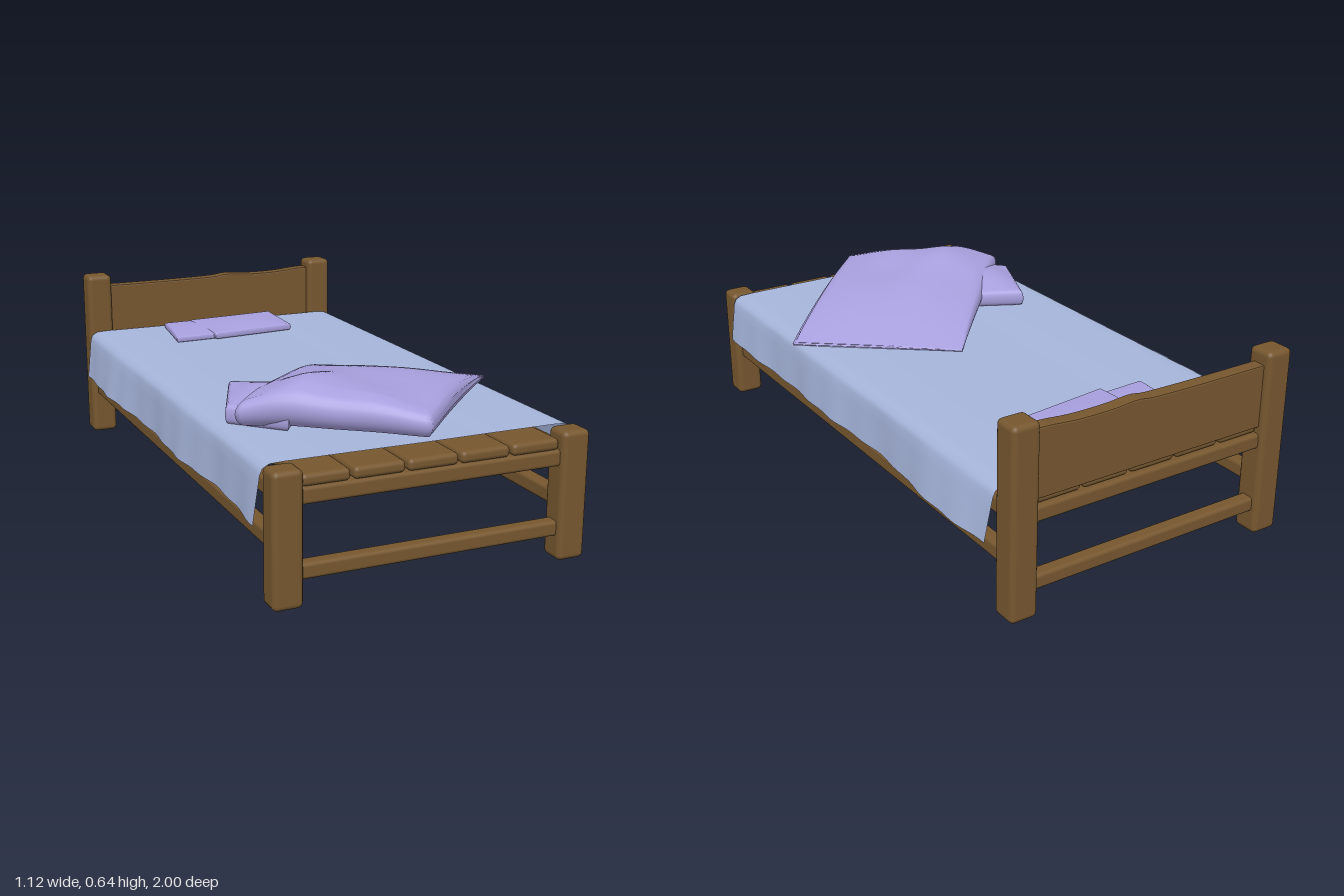
import * as THREE from 'three';
import { mergeVertices } from 'three/addons/utils/BufferGeometryUtils.js';
import { RoundedBoxGeometry } from 'three/addons/geometries/RoundedBoxGeometry.js';

const material = (name, color, side = THREE.FrontSide) => {
  const m = new THREE.MeshStandardMaterial({ color, side });
  m.name = name;
  return m;
};

export function createModel() {
  const wood = material('wood', 0x76572f);
  const darkWood = material('shadowed plank wood', 0x43331c);
  const sheetBlue = material('sheet blue', 0xa6b5db, THREE.DoubleSide);
  const lilac = material('blanket lilac', 0xa8a0de);
  const bed = new THREE.Group();
  bed.name = 'bed';

  const add = (name, geometry, mat) => {
    const mesh = new THREE.Mesh(geometry, mat);
    mesh.name = name;
    bed.add(mesh);
    return mesh;
  };

  // Worn timber block given by its limits on each axis
  const timber = (name, x0, x1, y0, y1, z0, z1, r = 0.012) => {
    const mesh = add(name, new RoundedBoxGeometry(x1 - x0, y1 - y0, z1 - z0, 3, r), wood);
    mesh.position.set((x0 + x1) / 2, (y0 + y1) / 2, (z0 + z1) / 2);
    return mesh;
  };

  // Soft puffy cloth: a fine box stretched over four floor corners [x, z],
  // with a thickness rule and rounded sides
  const softSlab = (name, corners, base, thickness, fold = 0) => {
    let g = new THREE.BoxGeometry(1, 1, 1, 36, 10, 36);
    g.deleteAttribute('uv');
    g.deleteAttribute('normal');
    g.clearGroups();
    g = mergeVertices(g);
    const p = g.attributes.position;
    const [a, b, c, d] = corners;
    for (let i = 0; i < p.count; i++) {
      const w = p.getY(i);
      const u0 = p.getX(i) + 0.5, v0 = p.getZ(i) + 0.5;
      const t = thickness(u0, v0);
      const inset = t * 0.7 * (1 - Math.sqrt(Math.max(0, 1 - 4 * w * w)))
        + fold * u0 * v0 * (0.5 + 0.5 * Math.sin(w * 24));
      const u = 0.5 + (u0 - 0.5) * (1 - 2 * inset);
      const v = 0.5 + (v0 - 0.5) * (1 - 2 * inset);
      const at = k => (1 - v) * ((1 - u) * a[k] + u * d[k]) + v * ((1 - u) * b[k] + u * c[k]);
      p.setXYZ(i, at(0), base + t * (w + 0.5), at(1));
    }
    g.computeVertexNormals();
    return add(name, g, lilac);
  };

  // Posts, side rails and end rails
  for (const s of [-1, 1]) {
    const side = s > 0 ? 'left' : 'right';
    const xa = s * 0.475 - 0.048, xb = s * 0.475 + 0.048;
    timber(`${side}FootPost`, xa, xb, 0, 0.418, 0.912, 1, 0.018);
    timber(`${side}HeadPost`, xa, xb, 0, 0.638, -1, -0.908, 0.018);
    timber(`${side}LowerSideRail`, s * 0.475 - 0.025, s * 0.475 + 0.025, 0.155, 0.208, -0.93, 0.93);
    timber(`${side}UpperSideRail`, s * 0.465 - 0.03, s * 0.465 + 0.03, 0.305, 0.36, -0.93, 0.93);
    const end = s > 0 ? 'foot' : 'head';
    timber(`${end}LowerRail`, -0.45, 0.45, 0.078, 0.128, s * 0.955 - 0.025, s * 0.955 + 0.025);
    timber(`${end}UpperRail`, -0.45, 0.45, 0.305, 0.358, s * 0.955 - 0.027, s * 0.955 + 0.027);
  }

  // Headboard with an uneven top edge
  const board = new THREE.Shape();
  board.moveTo(-0.44, 0.385);
  board.lineTo(0.44, 0.385);
  board.lineTo(0.44, 0.602);
  board.splineThru([[0.38, 0.6], [0.28, 0.592], [0.16, 0.592], [0.07, 0.598],
    [0, 0.591], [-0.2, 0.588], [-0.44, 0.588]].map(q => new THREE.Vector2(...q)));
  const boardGeometry = new THREE.ExtrudeGeometry(board, {
    depth: 0.036, bevelSize: 0.005, bevelThickness: 0.006, bevelSegments: 2, curveSegments: 24,
  });
  add('headboard', boardGeometry, wood).position.z = -0.972;

  // Lengthwise planks, with a dark underside
  const seams = [-0.432, -0.27, -0.095, 0.08, 0.255, 0.428];
  for (let i = 0; i < 5; i++) {
    const x0 = seams[i] + 0.004, x1 = seams[i + 1] - 0.004;
    timber('plank', x0, x1, 0.358, 0.396, -0.97, 0.983, 0.015);
    const under = add('plankUnderside', new THREE.BoxGeometry(x1 - x0 - 0.016, 0.004, 1.84), darkWood);
    under.position.set((x0 + x1) / 2, 0.357, 0);
  }

  // Cross beams carrying the planks
  for (const z of [-0.56, -0.19, 0.19, 0.56]) {
    timber('crossBeam', -0.46, 0.46, 0.305, 0.357, z - 0.033, z + 0.033);
  }

  // Sheet draped over both long sides, with a wavy hem
  const half = [[0, 0.415], [0.25, 0.416], [0.45, 0.416], [0.495, 0.414], [0.515, 0.403],
    [0.523, 0.385], [0.527, 0.35], [0.532, 0.31], [0.536, 0.275], [0.54, 0.24]];
  const sheet = new THREE.PlaneGeometry(18, 1.81, 18, 64);
  sheet.rotateX(-Math.PI / 2);
  const sp = sheet.attributes.position;
  for (let i = 0; i < sp.count; i++) {
    const column = Math.round(sp.getX(i)), s = Math.sign(column), z = sp.getZ(i);
    const [x, y] = half[Math.abs(column)];
    const drop = Math.max(0, (0.41 - y) / 0.17);
    const flare = s > 0 ? 0.022 * Math.exp(-(((z + 0.9) / 0.35) ** 2))
      : 0.016 * Math.exp(-(((z + 0.62) / 0.2) ** 2));
    const wave = flare + 0.008 * Math.sin(z * 9 + s) + 0.003 * Math.sin(z * 31);
    sp.setXYZ(i, s * (x + drop * wave), y + drop * 0.005 * Math.sin(z * 7 + 2 * s), z);
  }
  sheet.computeVertexNormals();
  add('sheet', sheet, sheetBlue);

  // Rumpled blanket: tall at its rolled end, thin at the far edge
  const bump = (u, v, a, b, r) => Math.exp(-((u - a) ** 2 + (v - b) ** 2) / (r * r));
  softSlab('blanket', [[-0.47, 0.57], [0.02, 0.915], [0.55, 0.335], [0.075, -0.035]], 0.416,
    (u, v) => 0.012 + 0.112 * (1 - u ** 3) * (0.7 + 0.3 * Math.sin(Math.PI * v))
      + 0.036 * bump(u, v, 0.12, 0.25, 0.22) - 0.014 * bump(u, v, 0.3, 0.6, 0.2)
      + 0.004 * (1 - u) * Math.sin(8 * u + 11 * v), 0.02);
  // Lower layer folded out beneath the blanket
  softSlab('blanketFold', [[-0.475, 0.5], [-0.33, 0.66], [-0.12, 0.34], [-0.36, 0.22]], 0.416,
    (u, v) => 0.06 + 0.03 * Math.sin(Math.PI * v) * Math.sin(Math.PI * u));

  // Folded pillow cloth in two layers
  softSlab('pillowLowerLayer', [[-0.23, -0.855], [-0.265, -0.592], [0.1, -0.61], [0.1, -0.865]], 0.416,
    (u, v) => 0.022 + 0.006 * Math.sin(Math.PI * v));
  softSlab('pillowUpperLayer', [[-0.125, -0.845], [-0.11, -0.578], [0.222, -0.618], [0.235, -0.878]], 0.418,
    (u, v) => 0.026 + 0.01 * Math.sin(Math.PI * u) * Math.sin(Math.PI * v));

  return bed;
}
